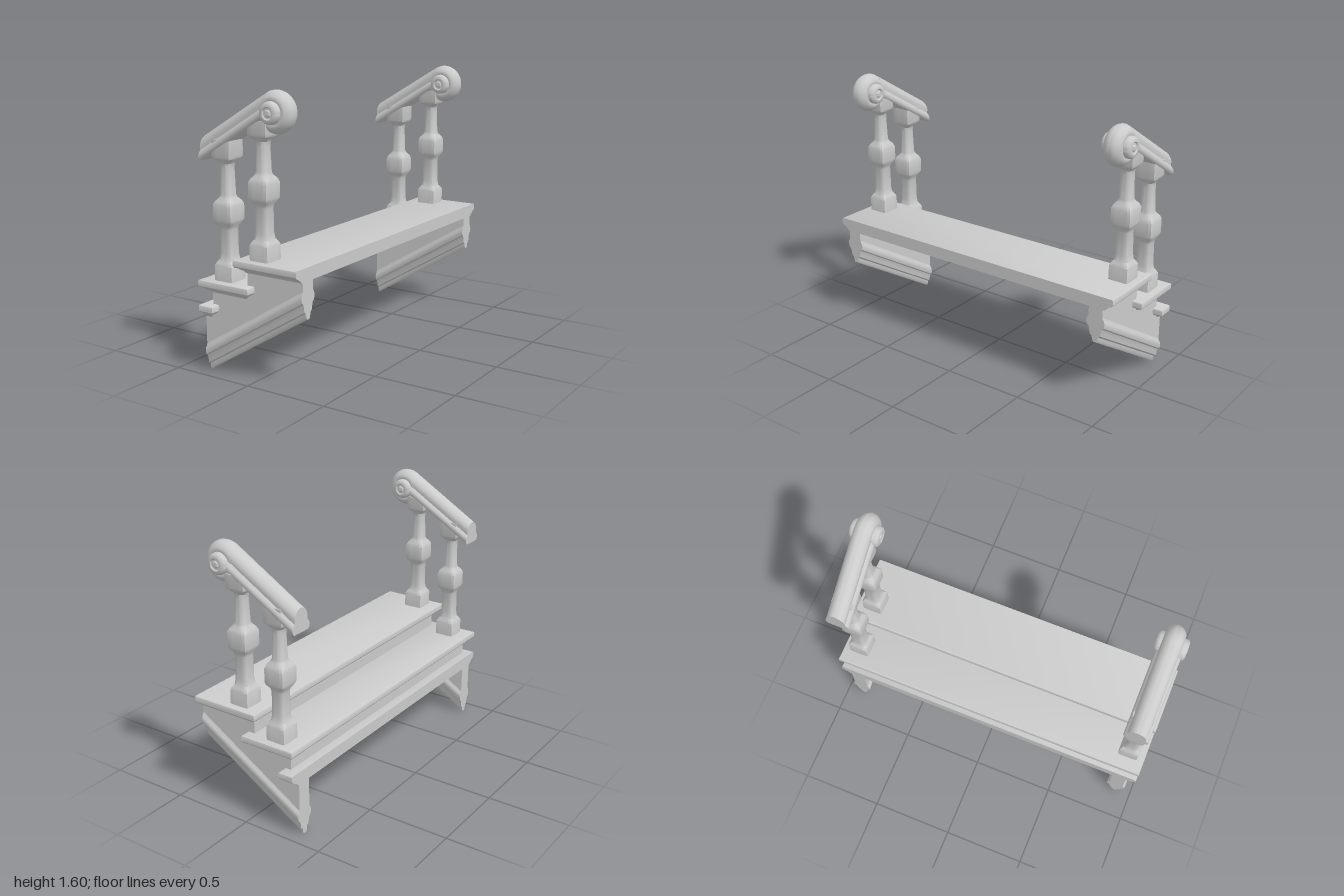
import * as THREE from 'three';
import { toCreasedNormals, mergeVertices } from 'three/addons/utils/BufferGeometryUtils.js';

const material = new THREE.MeshStandardMaterial({ color: 0xcccccc });
const X0 = -0.333, X1 = 0.333, SIDE_Z = 0.895;

function add(parent, name, geometry, crease = 0.6) {
  const mesh = new THREE.Mesh(toCreasedNormals(geometry, crease), material);
  mesh.name = name;
  parent.add(mesh);
  return mesh;
}

// Joins equal-length rings, listed bottom to top and counter-clockwise from above, with end caps
function loft(rings) {
  const n = rings[0].length, index = [];
  for (let r = 0; r < rings.length - 1; r++) {
    for (let i = 0; i < n; i++) {
      const a = r * n + i, b = r * n + (i + 1) % n;
      index.push(a, b, b + n, a, b + n, a + n);
    }
  }
  const top = (rings.length - 1) * n;
  for (let i = 1; i < n - 1; i++) index.push(0, i + 1, i, top, top + i, top + i + 1);
  const g = new THREE.BufferGeometry();
  g.setAttribute('position', new THREE.Float32BufferAttribute(rings.flat(2), 3));
  g.setIndex(index);
  return g;
}

// Symmetric [height, halfWidth] section run along x and sheared upwards
function slopedBar(profile, xStart, xEnd, slope, y) {
  const pts = [...profile.map(([h, w]) => new THREE.Vector2(w, h)),
    ...profile.slice().reverse().map(([h, w]) => new THREE.Vector2(-w, h))];
  const g = new THREE.ExtrudeGeometry(new THREE.Shape(pts),
    { depth: xEnd - xStart, bevelEnabled: false });
  g.rotateY(Math.PI / 2);
  const p = g.attributes.position;
  for (let i = 0; i < p.count; i++) {
    p.setXYZ(i, p.getX(i) + xStart, p.getY(i) + y + slope * p.getX(i), p.getZ(i));
  }
  return g;
}

// Tread with a rounded nosing and a cove below, returned round the chosen edges
const NOSING = [[-0.075, 0.052], [-0.064, 0.045], [-0.056, 0.03], [-0.048, 0.022],
  [-0.043, 0.008], [-0.034, 0.001], [-0.012, 0], [-0.003, 0.003], [0, 0.009]];
function tread(x0, x1, top, front, back) {
  return loft(NOSING.map(([dy, inset]) => {
    const a = x0 + front * inset, b = x1 - back * inset, z = 1 - inset, y = top + dy;
    return [[a, y, z], [b, y, z], [b, y, -z], [a, y, -z]];
  }));
}

// Turned post: [height, half width, roundness exponent], 2 is round and higher is square
function baluster(levels) {
  const n = 32;
  return loft(levels.map(([y, w, e]) => Array.from({ length: n }, (_, i) => {
    const a = (i / n) * Math.PI * 2, s = Math.sin(a), c = Math.cos(a);
    const k = w / Math.pow(Math.abs(s) ** e + Math.abs(c) ** e, 1 / e);
    return [k * s, y, k * c];
  })));
}

function balusterLevels(base, cap, top) {
  const block = base + 0.305;
  return [
    [base - 0.02, 0.062, 14], [base + 0.085, 0.061, 14], [base + 0.1, 0.055, 8],
    [base + 0.115, 0.046, 5], [base + 0.15, 0.042, 4], [block - 0.02, 0.041, 4],
    [block, 0.047, 4], [block + 0.02, 0.06, 8], [block + 0.035, 0.064, 10],
    [block + 0.115, 0.064, 10], [block + 0.135, 0.058, 6], [block + 0.155, 0.044, 3],
    [block + 0.17, 0.041, 2.2], [cap - 0.04, 0.036, 2.2], [cap - 0.015, 0.038, 2.2],
    [cap, 0.046, 4], [cap + 0.012, 0.058, 10], [cap + 0.025, 0.062, 14], [top, 0.062, 14]];
}

// One side: string board, two balusters and the scrolled handrail
function createSide(name) {
  const side = new THREE.Group();
  side.name = name;

  // Stepped board under the treads
  const board = new THREE.Shape([
    [X0, 0.12], [X1, 0.53], [X1, 0.635], [-0.035, 0.635], [-0.035, 0.5],
    [-0.28, 0.5], [-0.28, 0.36], [X0, 0.36]].map(p => new THREE.Vector2(...p)));
  const boardGeo = new THREE.ExtrudeGeometry(board, { depth: 0.088, bevelEnabled: false });
  boardGeo.translate(0, 0, -0.044);
  add(side, 'stringBoard', boardGeo);

  // Moulding along the lower edge
  add(side, 'stringMoulding', slopedBar([
    [0, 0.01], [0.012, 0.017], [0.035, 0.02], [0.045, 0.033], [0.075, 0.038],
    [0.09, 0.043], [0.098, 0.054], [0.12, 0.059], [0.138, 0.055], [0.15, 0.047],
    [0.165, 0.043]], X0, X1, 0.615, 0));

  for (const [x, base, cap, top] of [[-0.19, 0.545, 1.205, 1.32], [0.055, 0.692, 1.345, 1.44]]) {
    add(side, 'baluster', baluster(balusterLevels(base, cap, top)), 0.5).position.x = x;
  }

  // Handrail
  const slope = 0.6, cx = 0.15, cy = 1.487, stretch = Math.hypot(1, slope);
  const rail = [[0, 0.058], [0.008, 0.068], [0.02, 0.072], [0.034, 0.069], [0.043, 0.06],
    [0.05, 0.053], [0.07, 0.055], [0.085, 0.05], [0.1, 0.038], [0.109, 0.024], [0.115, 0.006]];
  add(side, 'handrail', slopedBar(rail.map(([h, w]) => [h * stretch, w]),
    X0, 0.091, slope, cy + slope * (X0 - cx)), 0.7);

  // Scroll end with a ringed boss on each face
  const half = [[0, 0.092], [0.014, 0.09], [0.02, 0.083], [0.028, 0.083], [0.034, 0.089],
    [0.047, 0.088], [0.056, 0.081], [0.06, 0.07], [0.061, 0.053], [0.072, 0.056],
    [0.085, 0.051], [0.1, 0.038], [0.109, 0.024], [0.115, 0.006]];
  const outline = [...half.map(([r, w]) => new THREE.Vector2(r, -w)),
    ...half.slice().reverse().map(([r, w]) => new THREE.Vector2(r, w))];
  const scroll = new THREE.LatheGeometry(outline, 48);
  scroll.rotateX(Math.PI / 2);
  add(side, 'railScroll', mergeVertices(scroll), 0.7).position.set(cx, cy, 0);
  return side;
}

export function createModel() {
  const model = new THREE.Group();
  model.name = 'staircaseSection';

  // Treads
  add(model, 'topTread', tread(-0.085, X1, 0.692, 1, 0));
  add(model, 'middleTread', tread(X0, 0.012, 0.545, 1, 1));
  add(model, 'bottomTread', tread(X0, -0.238, 0.4, 0, 1));

  // Risers
  for (const [x, y0, y1] of [[-0.035, 0.5, 0.64], [-0.28, 0.36, 0.5]]) {
    const riser = new THREE.BoxGeometry(0.03, y1 - y0, 1.8);
    riser.translate(x + 0.015, (y0 + y1) / 2, 0);
    add(model, 'riser', riser);
  }

  for (const [name, z] of [['leftSide', SIDE_Z], ['rightSide', -SIDE_Z]]) {
    const side = createSide(name);
    side.position.z = z;
    model.add(side);
  }
  return model;
}
